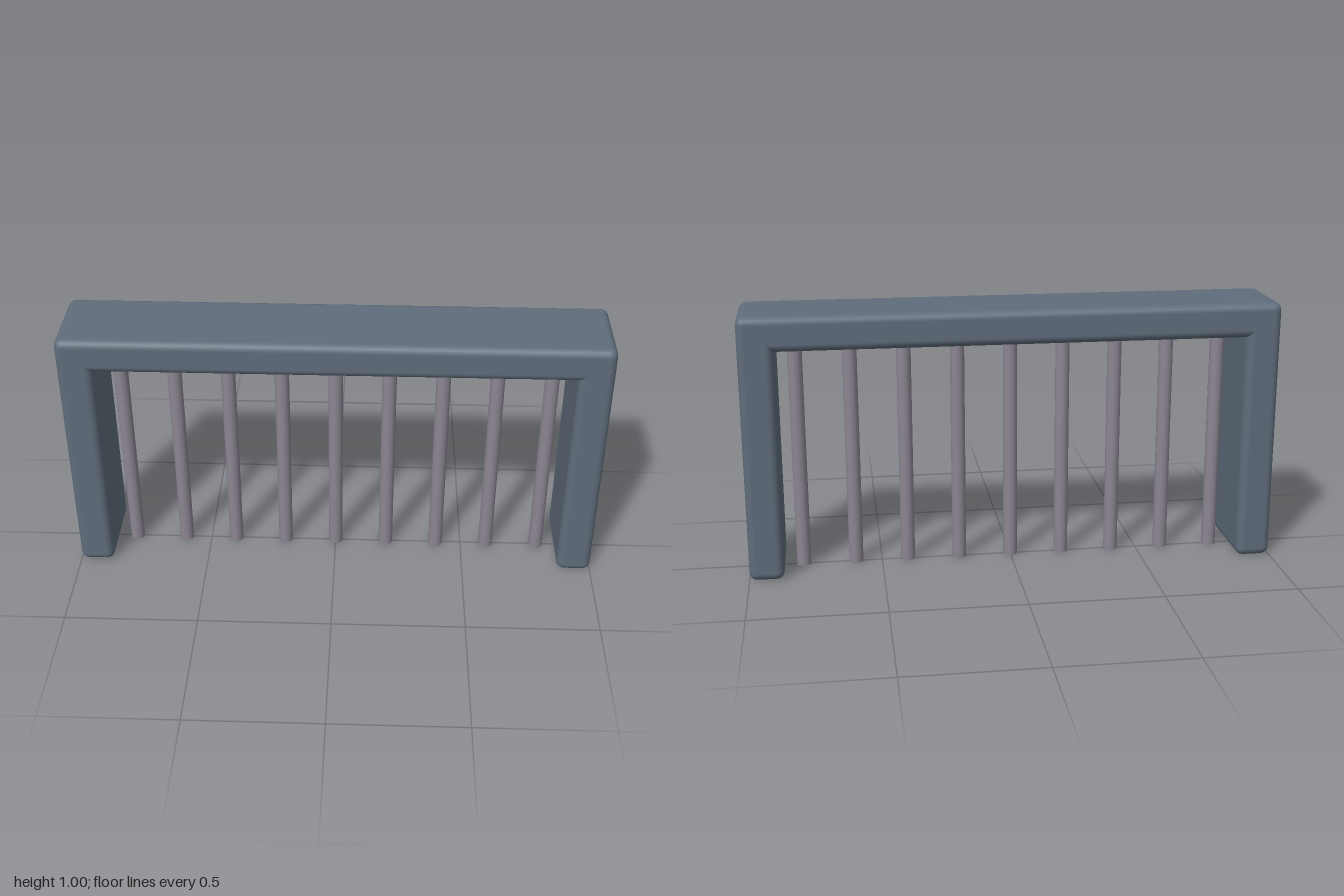
import * as THREE from 'three';
import { RoundedBoxGeometry } from 'three/addons/geometries/RoundedBoxGeometry.js';

export function createModel() {
  const model = new THREE.Group();
  model.name = 'barredGate';

  const slate = new THREE.MeshStandardMaterial({ color: 0x5f6c7b });
  slate.name = 'slate blue';
  const steel = new THREE.MeshStandardMaterial({ color: 0x8b8591 });
  steel.name = 'warm grey steel';

  const depth = 0.33, thick = 0.13, round = 0.03;

  const add = (name, geometry, material, x, y) => {
    const mesh = new THREE.Mesh(geometry, material);
    mesh.name = name;
    mesh.position.set(x, y, 0);
    model.add(mesh);
  };

  // Top beam
  add('topBeam', new RoundedBoxGeometry(2, thick, depth, 4, round), slate, 0, 1 - thick / 2);

  // Side posts
  const post = new RoundedBoxGeometry(thick, 1, depth, 4, round);
  add('leftPost', post, slate, 1 - thick / 2, 0.5);
  add('rightPost', post, slate, -1 + thick / 2, 0.5);

  // Nine evenly spaced bars, set into the beam
  const barHeight = 0.9;
  const bar = new THREE.CylinderGeometry(0.027, 0.027, barHeight, 16);
  for (let i = -4; i <= 4; i++) add(`bar${i + 5}`, bar, steel, i * 0.2, barHeight / 2);

  return model;
}
